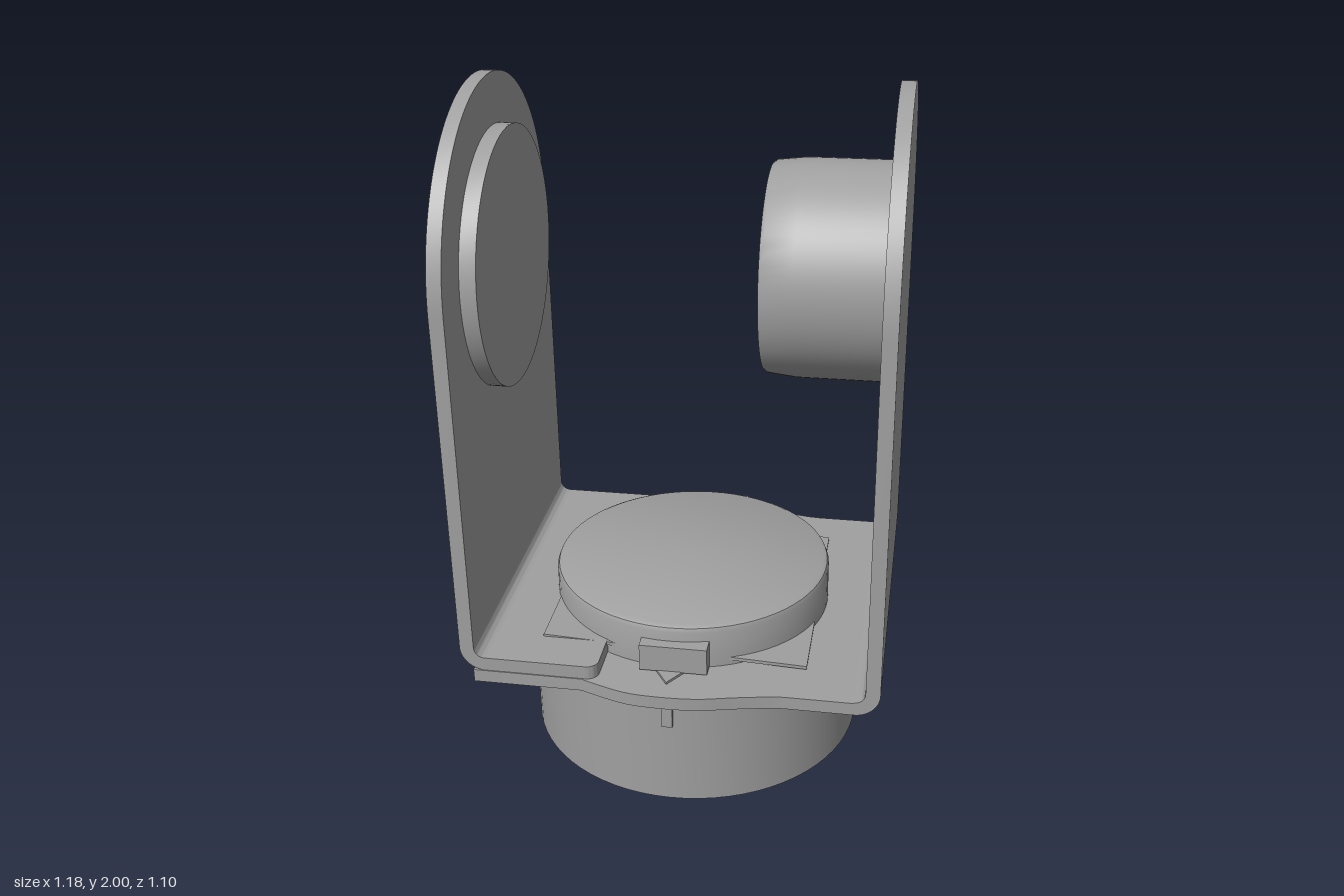
import * as THREE from 'three';
import { toCreasedNormals } from 'three/addons/utils/BufferGeometryUtils.js';

const grey = new THREE.MeshStandardMaterial({ color: 0xa0a0a0 });
grey.name = 'grey metal';

export function createModel() {
  const model = new THREE.Group();
  model.name = 'swivelYoke';

  // everything leans very slightly to one side about the turntable
  const yoke = new THREE.Group();
  yoke.name = 'yoke';
  yoke.position.y = 0.42;
  yoke.rotation.z = 0.013;
  model.add(yoke);
  const parts = new THREE.Group();
  parts.name = 'parts';
  parts.position.y = -0.42;
  yoke.add(parts);

  const add = (name, geo, x = 0, y = 0, z = 0, parent = parts) => {
    const m = new THREE.Mesh(toCreasedNormals(geo, 0.55), grey);
    m.name = name;
    m.position.set(x, y, z);
    parent.add(m);
    return m;
  };
  const lathe = (pts, n = 72) =>
    new THREE.LatheGeometry(pts.map(p => new THREE.Vector2(p[0], p[1])), n);
  const extrude = (shape, depth) =>
    new THREE.ExtrudeGeometry(shape, { depth, bevelEnabled: false, curveSegments: 32 });
  // flat sheet drawn in x/z whose top lies at height 0
  const sheet = (shape, thick) => extrude(shape, thick).rotateX(Math.PI / 2);

  // upright arm with a round top
  const armShape = bottom => {
    const s = new THREE.Shape();
    s.moveTo(-0.5, bottom);
    s.lineTo(0.5, bottom);
    s.lineTo(0.5, 1.493);
    s.absarc(0, 1.493, 0.5, 0, Math.PI, false);
    s.closePath();
    return s;
  };
  const arm = (bottom, t) => extrude(armShape(bottom), t).rotateY(Math.PI / 2);
  // quarter-round bend joining a foot and an arm
  const bend = (outer, inner, a0) => {
    const s = new THREE.Shape();
    s.absarc(0, 0, outer, a0, a0 + Math.PI / 2, false);
    s.absarc(0, 0, inner, a0 + Math.PI / 2, a0, true);
    s.closePath();
    return extrude(s, 1).translate(0, 0, -0.5);
  };

  // left arm (+x) and base plate, one bent sheet
  add('leftArm', arm(0.477, 0.04), 0.55);
  add('leftBend', bend(0.07, 0.03, -Math.PI / 2), 0.52, 0.477);
  const base = new THREE.Shape();
  const bulge = [[0.3, 0.503], [0.2, 0.522], [0.1, 0.544], [0, 0.55], [-0.1, 0.543], [-0.2, 0.512], [-0.23, 0.5]];
  base.moveTo(0.52, -0.5);
  base.lineTo(0.52, 0.5);
  base.lineTo(0.34, 0.5);
  base.splineThru(bulge.map(p => new THREE.Vector2(p[0], p[1])));
  base.lineTo(-0.54, 0.5);
  base.lineTo(-0.54, -0.5);
  base.lineTo(-0.23, -0.5);
  base.splineThru(bulge.map(p => new THREE.Vector2(p[0], -p[1])).reverse());
  base.lineTo(0.34, -0.5);
  base.closePath();
  add('basePlate', sheet(base, 0.038), 0, 0.445);

  // right arm (-x) with its foot lying on the base plate
  add('rightArm', arm(0.517, 0.04), -0.575);
  add('rightBend', bend(0.07, 0.03, Math.PI), -0.505, 0.517);
  const foot = new THREE.Shape();
  foot.moveTo(-0.505, -0.5);
  foot.lineTo(-0.22, -0.5);
  foot.absarc(-0.22, -0.467, 0.033, -Math.PI / 2, 0, false);
  foot.absarc(-0.22, 0.467, 0.033, 0, Math.PI / 2, false);
  foot.lineTo(-0.505, 0.5);
  foot.closePath();
  add('rightFoot', sheet(foot, 0.04), 0, 0.487);

  // clamp knob and opposite pad
  add('clampKnob', lathe([[0, 0], [0.28, 0], [0.287, 0.01], [0.296, 0.09], [0.296, 0.33], [0, 0.33]])
    .rotateZ(-Math.PI / 2), 0.224, 1.493);
  add('clampPad', lathe([[0, 0], [0.364, 0], [0.364, 0.046], [0, 0.046]])
    .rotateZ(-Math.PI / 2), -0.536, 1.49);

  // turntable disc above the plate
  add('turntable', lathe([[0, 0.43], [0.405, 0.43], [0.405, 0.558], [0.4, 0.57], [0.388, 0.576], [0, 0.577]]));
  const square = add('squarePlate', new THREE.BoxGeometry(0.75, 0.01, 0.72), 0.005, 0.472, 0.01);
  square.rotation.z = -0.045;
  add('frontClip', new THREE.BoxGeometry(0.19, 0.08, 0.06), 0.015, 0.49, 0.407);
  const backClip = add('backClip', new THREE.BoxGeometry(0.2, 0.08, 0.06), 0.01, 0.49, -0.418);
  backClip.rotation.y = 0.15;
  const tip = new THREE.Shape([[-0.035, 0.43], [0.045, 0.43], [0.005, 0.49]].map(p => new THREE.Vector2(...p)));
  add('pointer', sheet(tip, 0.008), 0, 0.452);

  // drum below the plate
  const drum = new THREE.Group();
  drum.name = 'drum';
  drum.position.x = 0.007;
  parts.add(drum);
  add('drumBody', lathe([[0, 0.055], [0.49, 0.055], [0.49, 0.41], [0, 0.41]]), 0, 0, 0, drum);
  for (const deg of [0, 168, 214]) {
    const a = deg * Math.PI / 180;
    const tab = add('drumTab', new THREE.BoxGeometry(0.03, 0.1, 0.03),
      Math.sin(a) * 0.487, 0.36, Math.cos(a) * 0.487, drum);
    tab.rotation.y = a;
  }
  const nib = add('drumNib', new THREE.BoxGeometry(0.06, 0.045, 0.02), -0.08, 0.145, -0.485, drum);
  nib.rotation.y = 0.17;

  // shallow cone underneath, flattened on one side, with an eight-sided recess
  const cone = lathe([[0.27, 0.012], [0.49, 0.056]]);
  const p = cone.attributes.position;
  for (let i = 0; i < p.count; i++) if (p.getX(i) < -0.2) p.setY(i, 0.053);
  add('undersideCone', cone, 0, 0, 0, drum);
  const ring = new THREE.Shape();
  ring.absarc(0, 0, 0.272, 0, Math.PI * 2, false);
  const hole = new THREE.Path();
  for (let i = 0; i < 8; i++) {
    const a = -i * Math.PI / 4;
    hole[i ? 'lineTo' : 'moveTo'](Math.cos(a) * 0.235, Math.sin(a) * 0.235);
  }
  hole.closePath();
  ring.holes.push(hole);
  add('undersideRing', sheet(ring, 0.052), 0, 0.056, 0, drum);
  add('recessFloor', new THREE.CylinderGeometry(0.25, 0.25, 0.03, 32), 0, 0.04, 0, drum);

  return model;
}
